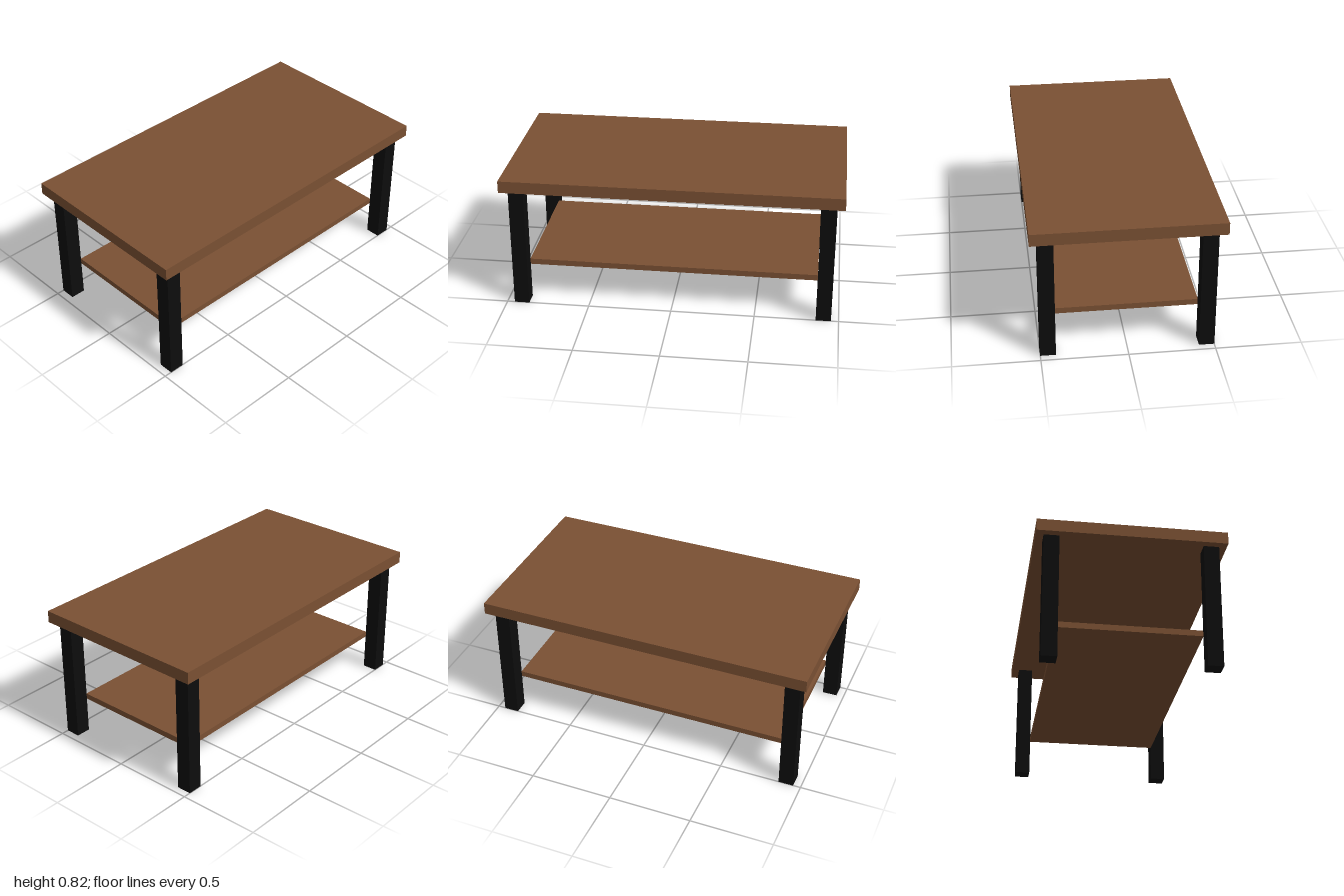
import * as THREE from 'three';

export function createModel() {
  const wood = new THREE.MeshStandardMaterial({ color: 0x7a5033 });
  wood.name = 'brown wood';
  const black = new THREE.MeshStandardMaterial({ color: 0x0d0d0d });
  black.name = 'black legs';

  const table = new THREE.Group();
  table.name = 'coffeeTable';

  // Box resting with its underside at height y
  function addBox(name, material, [w, h, d], [x, y, z]) {
    const mesh = new THREE.Mesh(new THREE.BoxGeometry(w, h, d), material);
    mesh.name = name;
    mesh.position.set(x, y + h / 2, z);
    table.add(mesh);
  }

  // Thick top and the thin shelf held between the legs' inner corners
  addBox('tableTop', wood, [2, 0.072, 1.09], [0, 0.748, 0]);
  addBox('lowerShelf', wood, [1.73, 0.035, 0.824], [0, 0.22, 0]);

  // Four square legs
  for (const [side, x] of [['Left', 0.91], ['Right', -0.91]]) {
    for (const [end, z] of [['front', 0.456], ['back', -0.456]]) {
      addBox(`${end}${side}Leg`, black, [0.09, 0.748, 0.09], [x, 0, z]);
    }
  }

  return table;
}
